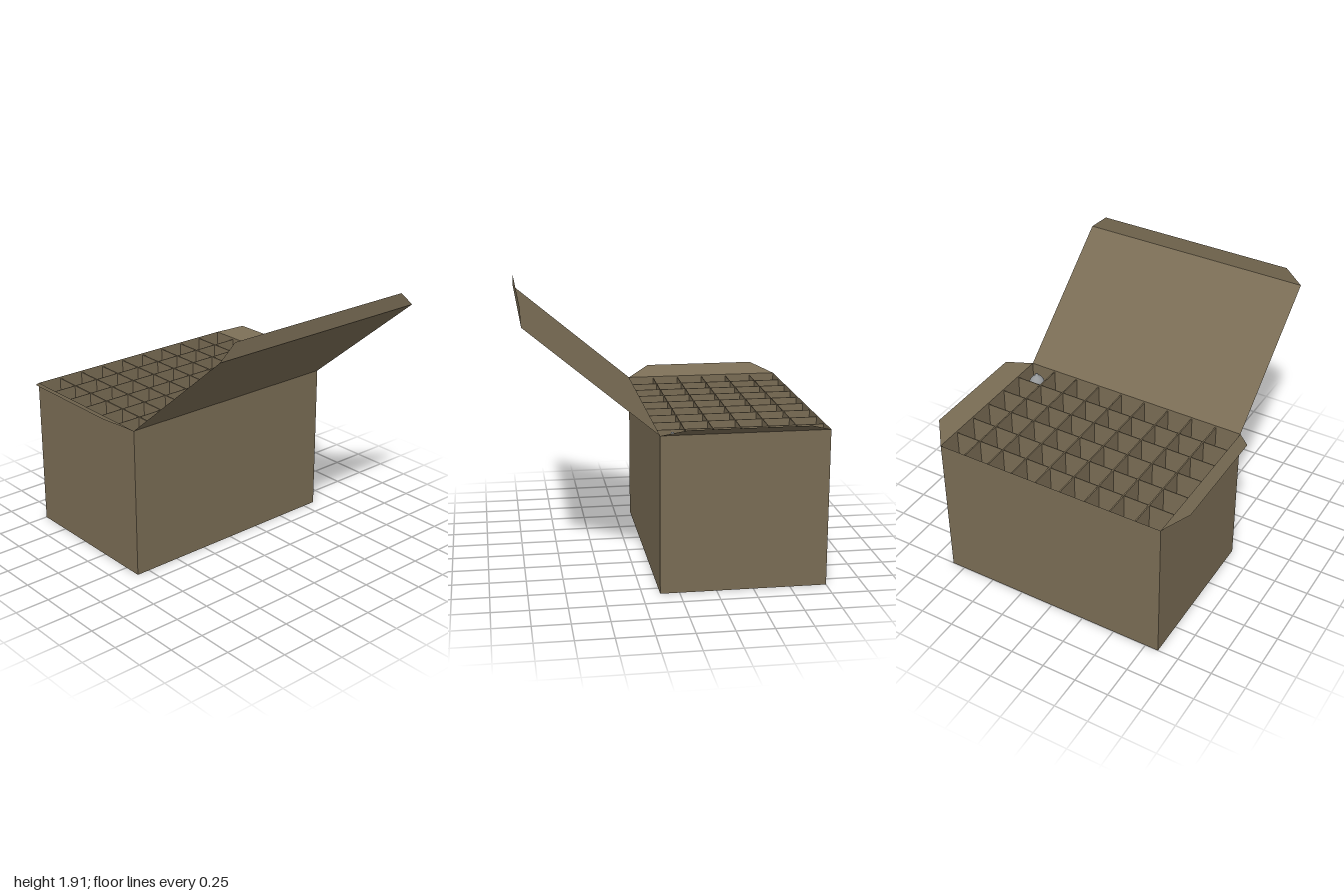
import * as THREE from 'three';

const X0 = -1, X1 = 0.13, Z = 0.847, H = 1.085;
const COLS = 6, ROWS = 9;

export function createModel() {
  const model = new THREE.Group();
  model.name = 'dividedCarton';
  const cardboard = new THREE.MeshStandardMaterial({ color: 0x796c54, side: THREE.DoubleSide });
  cardboard.name = 'cardboard';
  const metal = new THREE.MeshStandardMaterial({ color: 0x95989a });
  metal.name = 'greyMetal';

  // Flat four-cornered sheet, corners counter-clockwise seen from its outer face
  function sheet(name, a, b, c, d) {
    const geo = new THREE.BufferGeometry();
    geo.setAttribute('position', new THREE.Float32BufferAttribute([...a, ...b, ...c, ...d], 3));
    geo.setIndex([0, 1, 2, 0, 2, 3]);
    geo.computeVertexNormals();
    const mesh = new THREE.Mesh(geo, cardboard);
    mesh.name = name;
    model.add(mesh);
  }

  function box(name, w, h, d, x, y, z) {
    const mesh = new THREE.Mesh(new THREE.BoxGeometry(w, h, d), cardboard);
    mesh.name = name;
    mesh.position.set(x, y, z);
    model.add(mesh);
  }

  // Carton walls and floor
  sheet('frontWall', [X0, 0, Z], [X1, 0, Z], [X1, H, Z], [X0, H, Z]);
  sheet('backWall', [X1, 0, -Z], [X0, 0, -Z], [X0, H, -Z], [X1, H, -Z]);
  sheet('leftWall', [X1, 0, Z], [X1, 0, -Z], [X1, H, -Z], [X1, H, Z]);
  sheet('rightWall', [X0, 0, -Z], [X0, 0, Z], [X0, H, Z], [X0, H, -Z]);
  sheet('floor', [X0, 0, -Z], [X1, 0, -Z], [X1, 0, Z], [X0, 0, Z]);

  // Tapered end flaps, folded outwards
  sheet('frontFlap', [X0, H, Z], [X1, H, Z], [-0.03, 1.15, 0.972], [-0.84, 1.15, 0.972]);
  sheet('backFlap', [X1, H, -Z], [X0, H, -Z], [-0.84, 1.15, -0.972], [-0.03, 1.15, -0.972]);

  // Open lid with its tuck flap
  sheet('lid', [X1, H, Z], [X1, H, -Z], [0.996, 1.812, -Z], [0.996, 1.812, Z]);
  sheet('tuckFlap', [0.996, 1.812, Z], [0.996, 1.812, -Z], [0.998, 1.915, -0.73], [0.998, 1.915, 0.73]);

  // Divider grid
  const width = X1 - X0, depth = 2 * Z, top = 1.075;
  const cellX = width / COLS, cellZ = depth / ROWS;
  for (let i = 1; i < COLS; i++) {
    box('lengthDivider', 0.005, top - 0.004, depth - 0.004, X0 + i * cellX, top / 2, 0);
  }
  for (let j = 1; j < ROWS; j++) {
    box('crossDivider', width - 0.004, top - 0.004, 0.009, (X0 + X1) / 2, top / 2, -Z + j * cellZ);
  }

  // Single round item standing in the back corner cell
  const profile = [
    [0, 0.005], [0.08, 0.005], [0.088, 0.02], [0.088, 0.9], [0.084, 0.93], [0.072, 0.96],
    [0.058, 0.98], [0.053, 0.985], [0.053, 1.02], [0.046, 1.035], [0.03, 1.055],
    [0.013, 1.066], [0.01, 1.08], [0, 1.084],
  ].map(([r, y]) => new THREE.Vector2(r, y));
  const item = new THREE.Mesh(new THREE.LatheGeometry(profile, 32), metal);
  item.name = 'storedItem';
  item.position.set(X1 - cellX / 2, 0, -Z + cellZ / 2);
  model.add(item);

  return model;
}
